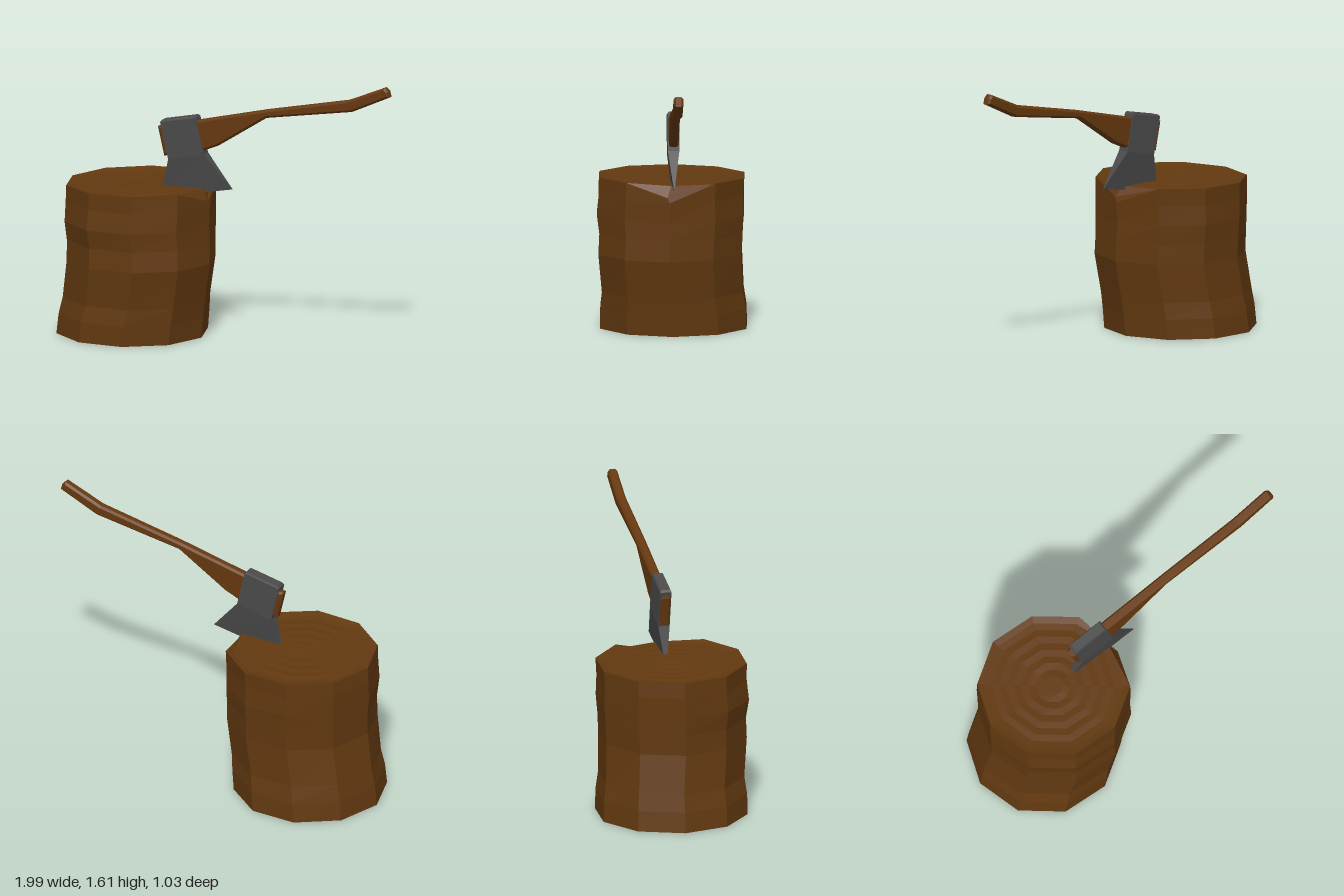
import * as THREE from 'three';

// Skins a stack of closed rings (counter-clockwise from above), capped at both ends, with flat facets
function loft(rings) {
  const pos = [];
  const tri = (a, b, c) => pos.push(...a, ...b, ...c);
  const centre = (ring) => [0, 1, 2].map((k) => ring.reduce((s, p) => s + p[k], 0) / ring.length);
  const n = rings[0].length;
  const first = rings[0], last = rings[rings.length - 1];
  const c0 = centre(first), c1 = centre(last);
  for (let i = 0; i < n; i++) {
    const j = (i + 1) % n;
    tri(c0, first[j], first[i]);
    for (let r = 0; r < rings.length - 1; r++) {
      const lo = rings[r], hi = rings[r + 1];
      tri(lo[i], lo[j], hi[j]);
      tri(lo[i], hi[j], hi[i]);
    }
    tri(c1, last[i], last[j]);
  }
  const geo = new THREE.BufferGeometry();
  geo.setAttribute('position', new THREE.Float32BufferAttribute(pos, 3));
  geo.computeVertexNormals();
  return geo;
}

// Ten-sided ring; tilt raises the +x side slightly
function stumpRing(y, cx, cz, rx, rz, tilt = 0) {
  return Array.from({ length: 10 }, (_, k) => {
    const a = THREE.MathUtils.degToRad(18 + 36 * k);
    return [cx + rx * Math.cos(a), y + tilt * Math.cos(a), cz - rz * Math.sin(a)];
  });
}

export function createModel() {
  const model = new THREE.Group();
  model.name = 'axeInStump';
  const bark = new THREE.MeshStandardMaterial({ color: 0x623910 });
  bark.name = 'stump brown';
  const wood = new THREE.MeshStandardMaterial({ color: 0x66390f });
  wood.name = 'handle brown';
  const steel = new THREE.MeshStandardMaterial({ color: 0x4a4a4a });
  steel.name = 'steel grey';

  const add = (parent, name, geo, mat) => {
    const mesh = new THREE.Mesh(geo, mat);
    mesh.name = name;
    parent.add(mesh);
    return mesh;
  };

  // Stump: leaning bark rings, then a rim and growth rings stepping inwards
  const rings = [
    [0, -0.57, 0.065, 0.45, 0.45],
    [0.12, -0.557, 0.063, 0.449, 0.447],
    [0.22, -0.54, 0.06, 0.447, 0.431],
    [0.45, -0.5, 0.0625, 0.447, 0.438],
    [0.57, -0.504, 0.058, 0.446, 0.438],
    [0.68, -0.507, 0.0625, 0.446, 0.452],
    [0.8, -0.507, 0.058, 0.45, 0.443],
  ].map((r) => stumpRing(...r));
  const rim = stumpRing(0.9, -0.505, 0.055, 0.447, 0.446, 0.008);
  rim[0][1] = 0.83; // notch split open by the blade
  rim[0][2] += 0.02;
  rings.push(rim);
  for (let i = 0; i < 9; i++) {
    const r = 0.405 - i * 0.043;
    rings.push(stumpRing(i % 2 ? 0.886 : 0.89, -0.508, 0.055, r, r, 0.006));
  }
  add(model, 'stump', loft(rings), bark);

  // Axe: built in its own plane, then turned about the vertical
  const axe = new THREE.Group();
  axe.name = 'axe';
  const turn = THREE.MathUtils.degToRad(20.1);
  axe.rotation.y = turn;
  axe.position.z = -0.131;
  model.add(axe);
  const along = (x) => x / Math.cos(turn);

  // Handle: curved outline with chamfered edges
  const bevel = 0.012;
  const outline = [
    [-0.4, 1.245], [-0.362, 1.072], [-0.12, 1.127], [-0.04, 1.162], [0.25, 1.357], [0.765, 1.443],
    [0.988, 1.55], [0.98, 1.585], [0.96, 1.605], [0.74, 1.508], [0.25, 1.404], [-0.16, 1.303],
  ].map(([x, y]) => new THREE.Vector2(along(x), y));
  const handle = new THREE.ExtrudeGeometry(new THREE.Shape(outline), {
    depth: 0.032, bevelEnabled: true, bevelThickness: bevel, bevelSize: bevel, bevelOffset: -bevel, bevelSegments: 1,
  });
  handle.translate(0, 0, -0.016);
  add(axe, 'handle', handle, wood);

  // Axe head: [left x, left y, right x, right y, half thickness], cutting edge first
  const sections = [
    [-0.39, 0.82, 0.04, 0.905, 0.003],
    [-0.332, 1.055, -0.12, 1.105, 0.034],
    [-0.38, 1.275, -0.166, 1.32, 0.034],
    [-0.37, 1.288, -0.176, 1.33, 0.028],
  ].map(([xl, yl, xr, yr, w]) => [
    [along(xr), yr, w], [along(xr), yr, -w], [along(xl), yl, -w], [along(xl), yl, w],
  ]);
  add(axe, 'axeHead', loft(sections), steel);

  return model;
}
